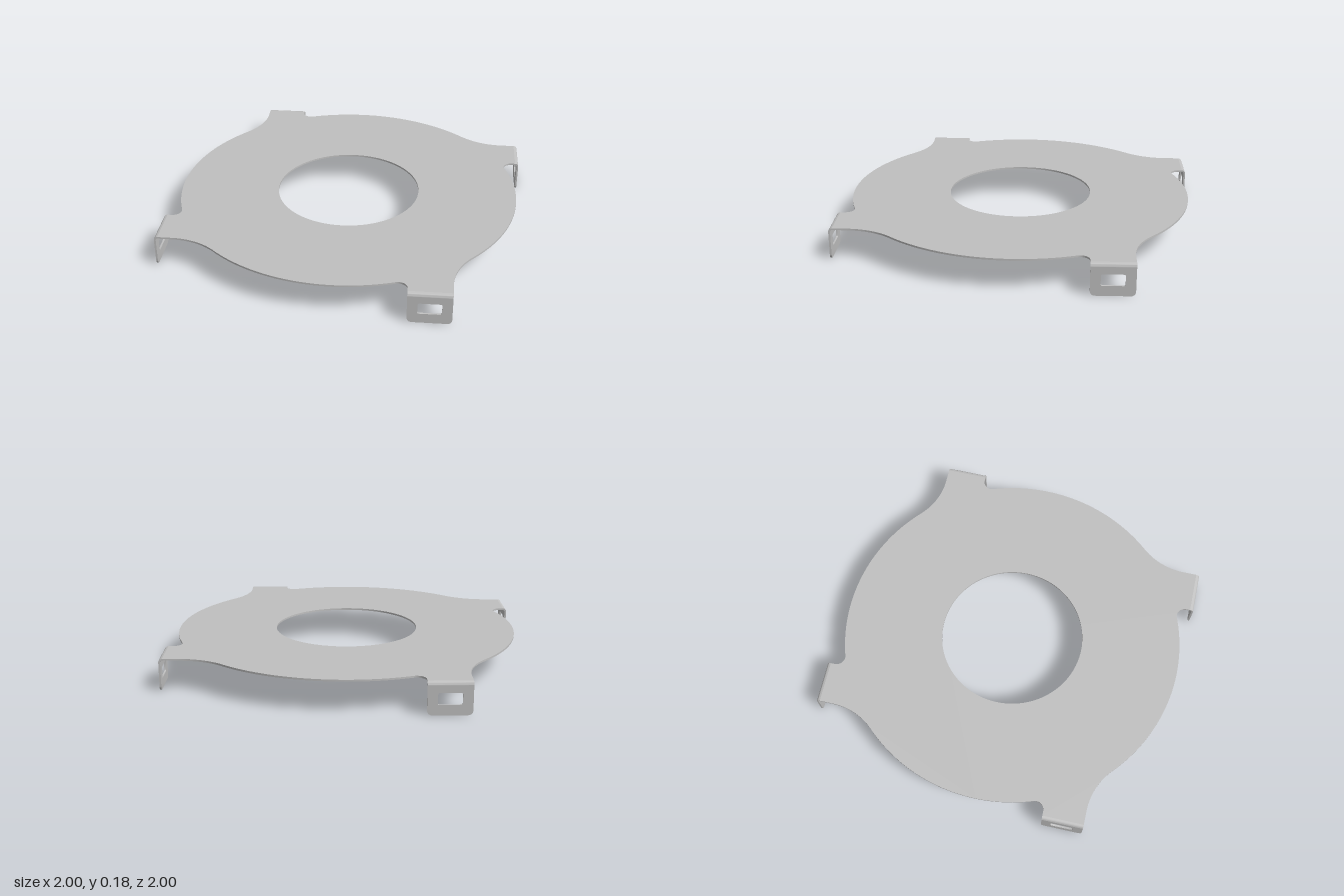
import * as THREE from 'three';
import { toCreasedNormals } from 'three/addons/utils/BufferGeometryUtils.js';

const TOP = 0.178, T = 0.01, BEND = 0.02;       // plate height, sheet thickness, outer bend radius
const X0 = 0.385, X1 = 0.615, R = 0.967;        // tab sides, disc radius

// points along an arc, angles in degrees
function arc(cx, cy, r, a0, a1, n) {
  return Array.from({ length: n + 1 }, (_, i) => {
    const a = THREE.MathUtils.degToRad(a0 + (a1 - a0) * i / n);
    return new THREE.Vector2(cx + r * Math.cos(a), cy + r * Math.sin(a));
  });
}

function roundedRect(path, x0, y0, x1, y1, rBottom, rTop) {
  const corners = [[x0, y0, 1, 1, rBottom, 180], [x1, y0, -1, 1, rBottom, 270],
    [x1, y1, -1, -1, rTop, 0], [x0, y1, 1, -1, rTop, 90]];
  const points = corners.flatMap(([x, y, sx, sy, r, a]) =>
    r ? arc(x + sx * r, y + sy * r, r, a, a + 90, 6) : [new THREE.Vector2(x, y)]);
  return path.setFromPoints(points);
}

function extrude(shape, depth) {
  return new THREE.ExtrudeGeometry(shape, { depth, bevelEnabled: false, curveSegments: 64 });
}

export function createModel() {
  const model = new THREE.Group();
  model.name = 'mountingRing';
  const steel = new THREE.MeshStandardMaterial({ color: 0xc0c0c0 });
  steel.name = 'steel grey';

  const add = (parent, geometry, name) => {
    const mesh = new THREE.Mesh(toCreasedNormals(geometry, 0.5), steel);
    mesh.name = name;
    parent.add(mesh);
  };

  // Flat plate: one quarter of the outline (relief notch, tab, fillet, rim) turned four times
  const quarter = [
    ...arc(0.337, 0.957, 0.048, -109.4, 0, 14),
    new THREE.Vector2(X0, 1 - BEND),
    new THREE.Vector2(X1, 1 - BEND),
    ...arc(0.985, 0.904, 0.37, 180, 222.5, 14),
    ...arc(0, 0, R, 41.5, -18.5, 30),
  ];
  const outline = [];
  for (let k = 0; k < 4; k++) {
    for (const p of quarter) {
      outline.push(p.clone().rotateAround(new THREE.Vector2(), -k * Math.PI / 2));
    }
  }
  const plateShape = new THREE.Shape(outline);
  plateShape.holes.push(new THREE.Path().absarc(0, 0, 0.406, 0, Math.PI * 2));
  add(model, extrude(plateShape, T).rotateX(Math.PI / 2).translate(0, TOP, 0), 'plate');

  // Hanging tab with a rectangular slot
  const tabShape = roundedRect(new THREE.Shape(), X0, 0, X1, TOP - BEND, 0.025, 0);
  tabShape.holes.push(roundedRect(new THREE.Path(), 0.438, 0.055, 0.562, 0.118, 0.008, 0.008));
  const tabGeometry = extrude(tabShape, T).translate(0, 0, 1 - T);

  // Quarter-round bend joining plate and tab
  const cz = 1 - BEND, cy = TOP - BEND;
  const bendShape = new THREE.Shape([
    ...arc(cz, cy, BEND, 0, 90, 10),
    ...arc(cz, cy, BEND - T, 90, 0, 10),
  ]);
  const bendGeometry = extrude(bendShape, X1 - X0).rotateY(-Math.PI / 2).translate(X1, 0, 0);

  ['front', 'left', 'back', 'right'].forEach((side, k) => {
    const tab = new THREE.Group();
    tab.name = side + 'Tab';
    add(tab, tabGeometry, 'slottedTab');
    add(tab, bendGeometry, 'tabBend');
    tab.rotation.y = k * Math.PI / 2;
    model.add(tab);
  });
  return model;
}
